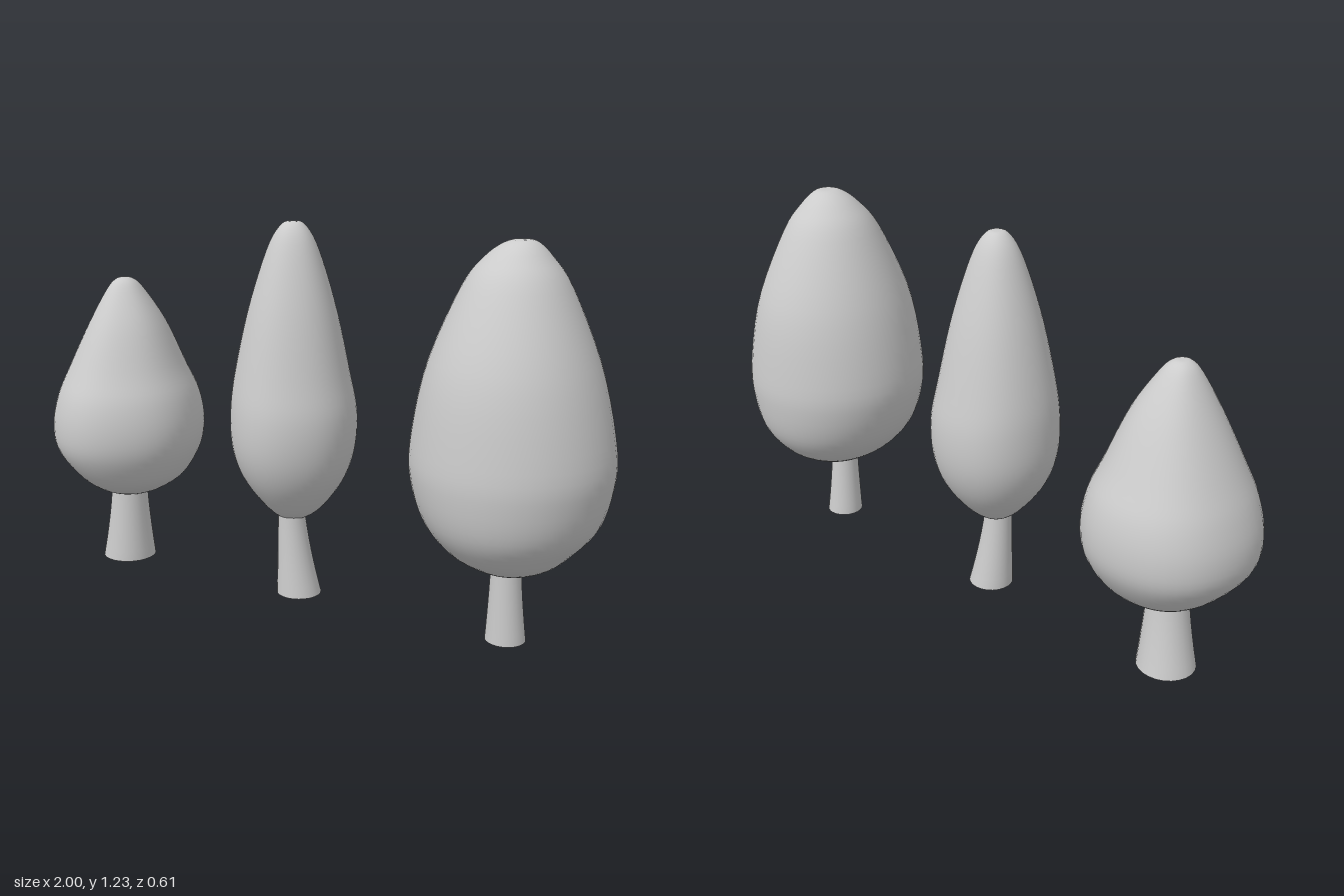
import * as THREE from 'three';
import { mergeVertices } from 'three/addons/utils/BufferGeometryUtils.js';

const material = new THREE.MeshStandardMaterial({ color: 0xcccccc, side: THREE.DoubleSide });

// Drops the seams so that the normals run smoothly all round.
function smoothed(geo) {
  geo.deleteAttribute('uv');
  geo.deleteAttribute('normal');
  const merged = mergeVertices(geo, 1e-5);
  merged.computeVertexNormals();
  return merged;
}

// A sphere whose rings follow smooth curves through the rows [y, right x, left x, half depth].
// base and tip are the poles [x, y]; lobe is how far the section leaves an ellipse.
function crownGeometry({ base, rows, tip, lobe }) {
  // an extra ring near each pole rounds it off
  const rounding = ([x, y], row) => [y + (row[0] - y) * 0.12,
    x + (row[1] - x) * 0.45, x + (row[2] - x) * 0.45, row[3] * 0.45];
  const pole = ([x, y]) => [y, x, x, 0];
  const all = [pole(base), rounding(base, rows[0]), ...rows, rounding(tip, rows.at(-1)), pole(tip)];
  const curve = (column) => new THREE.CatmullRomCurve3(
    all.map((r) => new THREE.Vector3(r[column], r[0], r[3])), false, 'catmullrom', 0.5);
  const right = curve(1), left = curve(2);

  const geo = new THREE.SphereGeometry(1, 48, 48);
  const { position, uv } = geo.attributes;
  for (let i = 0; i < position.count; i++) {
    const angle = Math.PI - uv.getX(i) * Math.PI * 2;
    const t = THREE.MathUtils.clamp(uv.getY(i), 0, 1);
    const a = right.getPoint(t), b = left.getPoint(t);
    const c = Math.cos(angle), s = Math.sin(angle);
    // fuller at the back corners, more pointed at the front
    const f = 1 - lobe * Math.sin(2 * angle) ** 2 * s;
    position.setXYZ(i, (a.x + b.x) / 2 + (b.x - a.x) / 2 * c * f, a.y, a.z * s * f);
  }
  return smoothed(geo);
}

// Open tapered tube that leans and flares towards the ground, between rings [x, y, z, radius].
function trunkGeometry(bottom, top) {
  const geo = new THREE.CylinderGeometry(1, 1, 1, 24, 8, true);
  const p = geo.attributes.position;
  for (let i = 0; i < p.count; i++) {
    const t = p.getY(i) + 0.5;
    const k = 1 - (1 - t) ** 1.4;
    const [x, , z, r] = bottom.map((b, j) => b + (top[j] - b) * k);
    p.setXYZ(i, x + p.getX(i) * r, bottom[1] + (top[1] - bottom[1]) * t, z + p.getZ(i) * r);
  }
  return smoothed(geo);
}

function createTree(name, trunkBottom, trunkTop, crown) {
  const tree = new THREE.Group();
  tree.name = name;
  const trunkMesh = new THREE.Mesh(trunkGeometry(trunkBottom, trunkTop), material);
  trunkMesh.name = 'trunk';
  const crownMesh = new THREE.Mesh(crownGeometry(crown), material);
  crownMesh.name = 'crown';
  tree.add(trunkMesh, crownMesh);
  return tree;
}

export function createModel() {
  const model = new THREE.Group();
  model.name = 'trees';

  model.add(createTree('smallTree', [-0.748, 0, 0.005, 0.093], [-0.728, 0.28, 0.018, 0.062], {
    base: [-0.73, 0.238], tip: [-0.733, 1.005], lobe: 0.04,
    rows: [
      [0.27, -0.85, -0.605, 0.13], [0.32, -0.92, -0.54, 0.195], [0.41, -0.99, -0.492, 0.255],
      [0.5, -1, -0.48, 0.27], [0.6, -0.975, -0.498, 0.255], [0.7, -0.93, -0.54, 0.21],
      [0.85, -0.856, -0.6, 0.138], [0.965, -0.793, -0.67, 0.065],
    ],
  }));

  model.add(createTree('slenderTree', [-0.037, 0, 0, 0.074], [-0.058, 0.3, 0.012, 0.044], {
    base: [-0.06, 0.26], tip: [-0.055, 1.232], lobe: 0.03,
    rows: [
      [0.31, -0.155, 0.045, 0.1], [0.4, -0.222, 0.108, 0.167], [0.5, -0.257, 0.14, 0.203],
      [0.62, -0.262, 0.146, 0.209], [0.75, -0.247, 0.122, 0.187], [0.96, -0.2, 0.078, 0.14],
      [1.15, -0.138, 0.022, 0.078],
    ],
  }));

  model.add(createTree('broadTree', [0.7, 0, 0.003, 0.063], [0.697, 0.26, 0.012, 0.046], {
    base: [0.7, 0.223], tip: [0.708, 1.22], lobe: 0,
    rows: [
      [0.26, 0.575, 0.84, 0.145], [0.31, 0.505, 0.897, 0.216], [0.39, 0.44, 0.962, 0.274],
      [0.5, 0.4, 0.994, 0.3], [0.62, 0.394, 0.997, 0.301], [0.85, 0.438, 0.944, 0.266],
      [1.08, 0.53, 0.85, 0.168], [1.17, 0.595, 0.79, 0.1],
    ],
  }));
  return model;
}
